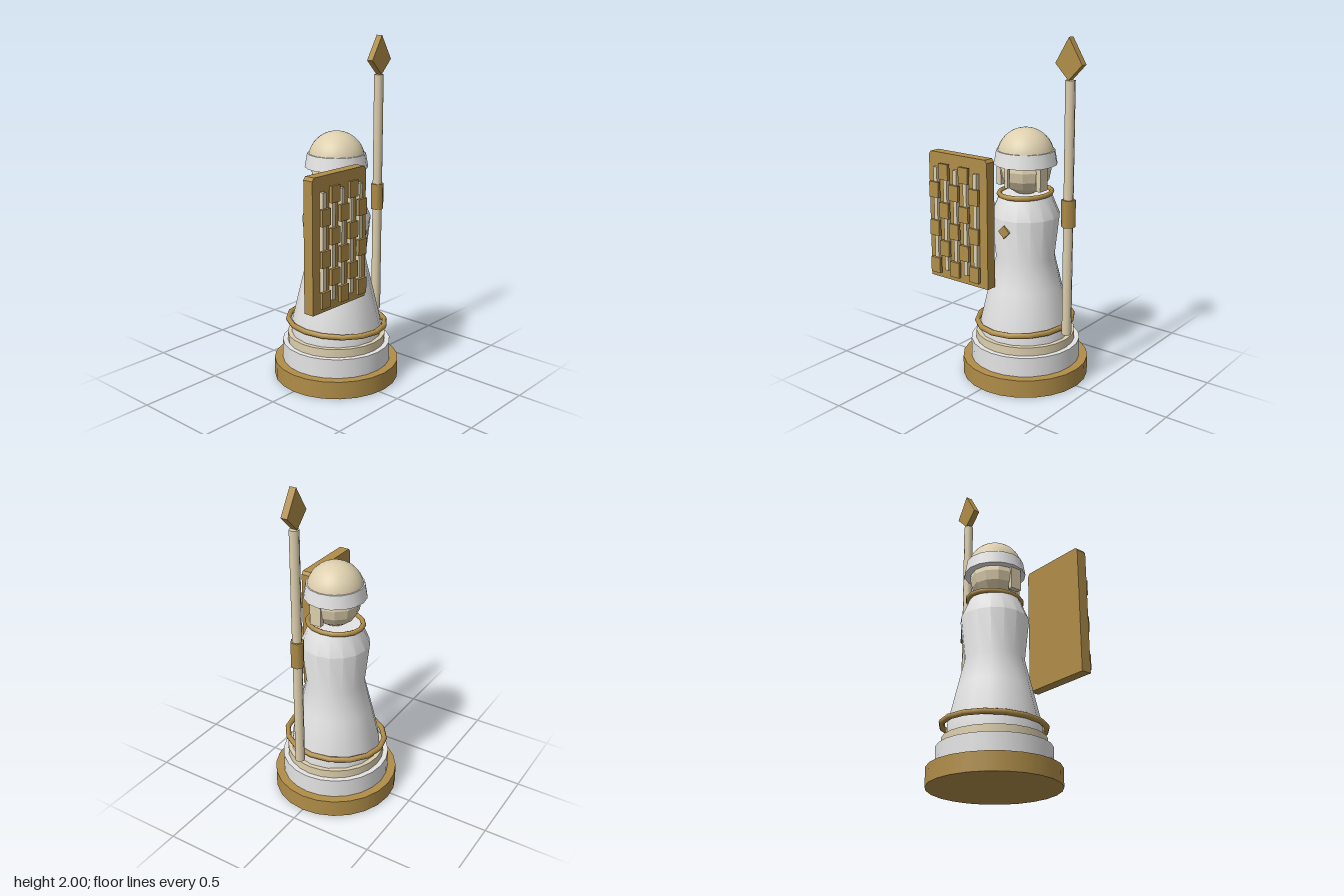
import * as THREE from 'three';
import { toCreasedNormals } from 'three/addons/utils/BufferGeometryUtils.js';

const material = (name, color) => {
  const m = new THREE.MeshStandardMaterial({ color });
  m.name = name;
  return m;
};

export function createModel() {
  const gold = material('gold', 0xb08d48);
  const cream = material('cream', 0xddcfae);
  const white = material('white', 0xe4e4e4);

  const model = new THREE.Group();
  model.name = 'guardPiece';
  const body = new THREE.Group();
  body.name = 'figure';
  body.position.x = 0.04;
  const spear = new THREE.Group();
  spear.name = 'spear';
  spear.position.set(0.365, 0, 0.04);
  const shield = new THREE.Group();
  shield.name = 'shield';
  model.add(body, spear, shield);

  const add = (parent, name, geometry, mat, x = 0, y = 0, z = 0) => {
    const mesh = new THREE.Mesh(geometry, mat);
    mesh.name = name;
    mesh.position.set(x, y, z);
    parent.add(mesh);
    return mesh;
  };
  // Upright cylinder or cone frustum between two heights
  const column = (parent, name, mat, y0, y1, rBottom, rTop, sides) =>
    add(parent, name, new THREE.CylinderGeometry(rTop, rBottom, y1 - y0, sides), mat, 0, (y0 + y1) / 2);
  const box = (parent, name, mat, w, h, d, x, y, z) =>
    add(parent, name, new THREE.BoxGeometry(w, h, d), mat, x, y, z);
  const outline = (points) => new THREE.Shape(points.map(([x, y]) => new THREE.Vector2(x, y)));

  // Stepped base
  column(body, 'baseFoot', gold, 0, 0.105, 0.372, 0.372, 24);
  column(body, 'baseStep', white, 0.105, 0.22, 0.322, 0.322, 24);
  column(body, 'baseTrim', cream, 0.22, 0.27, 0.292, 0.292, 24);

  // Robe with flared hem, waist and shoulders, closed at the neck
  const profile = [[0.268, 0.27], [0.265, 0.34], [0.213, 0.56], [0.172, 0.73],
    [0.2, 0.98], [0.148, 1.105], [0, 1.105]].map(([r, y]) => new THREE.Vector2(r, y));
  add(body, 'robe', toCreasedNormals(new THREE.LatheGeometry(profile, 16), 0.6), white);

  // Oval rings at hem and neck
  const ring = (name, rx, rz, tube, y) => {
    const g = new THREE.TorusGeometry(rz, tube, 8, 16).rotateX(Math.PI / 2).scale(rx / rz, 1, 1);
    add(body, name, g, gold, 0, y);
  };
  ring('hemRing', 0.268, 0.305, 0.017, 0.341);
  ring('neckRing', 0.143, 0.166, 0.015, 1.107);

  // Chest diamond
  const diamond = box(body, 'chestDiamond', gold, 0.054, 0.054, 0.012, 0, 0.915, 0.197);
  diamond.rotation.z = Math.PI / 4;

  // Faceted head
  const head = new THREE.SphereGeometry(0.147, 12, 8).toNonIndexed();
  head.computeVertexNormals();
  add(body, 'head', head, cream, 0, 1.245);

  // Helmet: dome, band, nose guard and cheek guards
  add(body, 'helmetDome', new THREE.SphereGeometry(0.164, 24, 10, 0, Math.PI * 2, 0, Math.PI / 2), cream, 0, 1.317);
  column(body, 'helmetBand', white, 1.275, 1.355, 0.182, 0.168, 16);
  box(body, 'noseGuard', cream, 0.022, 0.115, 0.018, 0, 1.222, 0.17);
  for (const side of [-1, 1]) {
    box(body, side > 0 ? 'leftCheekGuard' : 'rightCheekGuard', cream,
      0.03, 0.135, 0.07, side * 0.14, 1.21, 0.035);
  }

  // Spear
  column(spear, 'spearShaft', cream, 0.33, 1.775, 0.028, 0.028, 8);
  column(spear, 'spearGrip', gold, 0.97, 1.125, 0.04, 0.04, 6);
  const kite = outline([[0, 1.775], [0.085, 1.86], [0, 2], [-0.085, 1.86]]);
  add(spear, 'spearHead', new THREE.ExtrudeGeometry(kite, { depth: 0.04, bevelEnabled: false }), gold, 0, 0, -0.02);

  // Shield board with clipped upper corners
  const board = outline([[-0.452, 0.575], [-0.022, 0.575], [-0.022, 1.312], [-0.036, 1.33],
    [-0.438, 1.33], [-0.452, 1.312]]);
  add(shield, 'shieldBoard', new THREE.ExtrudeGeometry(board, { depth: 0.063, bevelEnabled: false }), gold, 0, 0, 0.207);

  // Woven face: upright slats with staggered tiles
  for (let i = 0; i < 5; i++) {
    const x = -0.385 + i * 0.0735;
    box(shield, 'shieldSlat', cream, 0.025, 0.61, 0.027, x, 0.942, 0.282);
    for (let j = 0; j < 3; j++) {
      const y = (i % 2 ? 1.23 : 1.116) - j * 0.228;
      box(shield, 'shieldTile', gold, 0.068, 0.092, 0.018, x, y, 0.301);
    }
  }
  return model;
}
